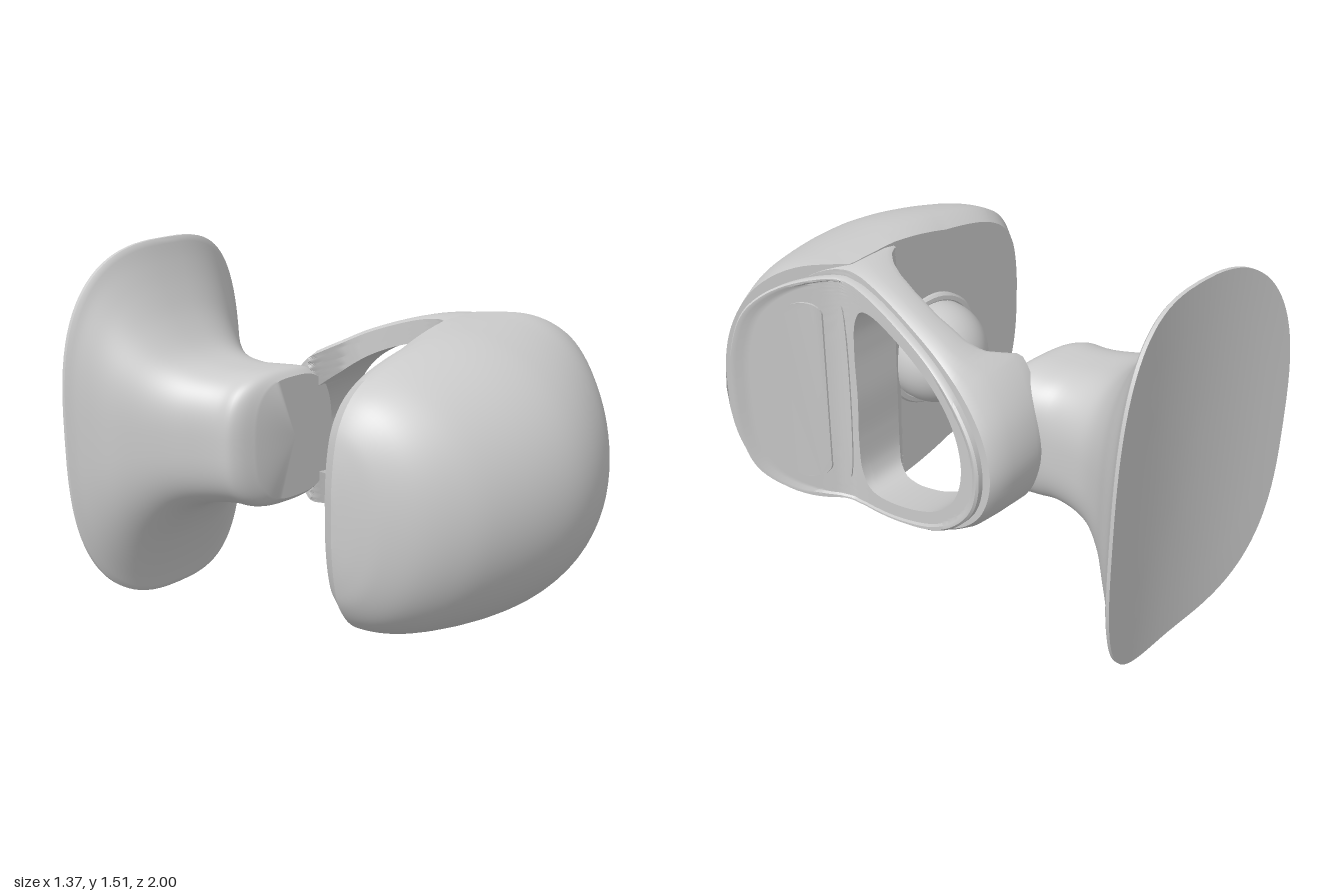
import * as THREE from 'three';
import { toCreasedNormals, mergeVertices } from 'three/addons/utils/BufferGeometryUtils.js';

const MID = 0.76; // height of the symmetry plane
const V3 = (x, y, z) => new THREE.Vector3(x, y, z);
const clamp = THREE.MathUtils.clamp;
const lerp = THREE.MathUtils.lerp;

// piecewise linear table lookup
const table = (pts) => (v) => {
  if (v <= pts[0][0]) return pts[0][1];
  for (let i = 1; i < pts.length; i++) {
    const [a, p] = pts[i - 1], [b, q] = pts[i];
    if (v <= b) return lerp(p, q, (v - a) / (b - a));
  }
  return pts[pts.length - 1][1];
};

// skin closed rings of equal length; wrap joins last ring to first
function loft(rings, wrap, crease = 0.6) {
  const n = rings[0].length, m = rings.length, index = [];
  const pts = rings.flat();
  let volume = 0;
  for (let i = 0; i < (wrap ? m : m - 1); i++) {
    for (let j = 0; j < n; j++) {
      const a = i * n + j, b = i * n + (j + 1) % n;
      const c = ((i + 1) % m) * n + j, d = ((i + 1) % m) * n + (j + 1) % n;
      for (const t of [[a, b, d], [a, d, c]]) {
        index.push(...t);
        volume += pts[t[0]].dot(V3().crossVectors(pts[t[1]], pts[t[2]]));
      }
    }
  }
  if (volume < 0) index.reverse(); // keep faces outward
  const g = new THREE.BufferGeometry().setFromPoints(pts);
  g.setIndex(index);
  return toCreasedNormals(g, crease);
}

// closed smooth outline in (z, y) from its upper half
const outline = (half) => {
  const low = half.slice(1, -1).reverse().map(([z, y]) => [z, -y]);
  const c = new THREE.CatmullRomCurve3([...half, ...low].map(([z, y]) => V3(z, y, 0)), true);
  return c.getSpacedPoints(160).slice(0, 160);
};

// side face in plan: x for a given z, and its offset along the normal
const outerX = table([[-0.5, 0.44], [0.15, 0.358], [0.25, 0.348], [0.32, 0.35], [0.37, 0.37], [0.42, 0.41], [0.68, 0.66]]);
const innerX = table([[-0.49, 0.17], [-0.35, 0.1], [-0.3, 0.09], [-0.268, 0.16], [-0.235, 0.22], [-0.18, 0.25], [-0.05, 0.257],
  [0.08, 0.243], [0.18, 0.22], [0.25, 0.19], [0.3, 0.15], [0.335, 0.095], [0.37, 0.12], [0.65, 0.3]]);
const sideX = (z, d) => outerX(z) + d * Math.hypot(1, (outerX(z + 0.03) - outerX(z - 0.03)) / 0.06);

const armOutline = outline([[0.6, 0], [0.58, 0.25], [0.53, 0.41], [0.45, 0.505], [0.35, 0.533], [0.2, 0.515], [0, 0.46],
  [-0.2, 0.382], [-0.35, 0.283], [-0.45, 0.157], [-0.49, 0]]);
const trimOutline = outline([[0.655, 0], [0.642, 0.22], [0.596, 0.37], [0.5, 0.462], [0.35, 0.502], [0.2, 0.49], [0, 0.437],
  [-0.2, 0.353], [-0.34, 0.242], [-0.42, 0.127], [-0.446, 0]]);
const holeOutline = outline([[0.27, 0], [0.275, 0.2], [0.265, 0.33], [0.235, 0.388], [0.18, 0.405], [0, 0.362],
  [-0.2, 0.262], [-0.31, 0.143], [-0.348, 0]]);

// ring between an outline and the hole; each profile entry is [inset, share of the rest, x rule]
const frame = (edge, profile) => loft(profile.map(([inset, share, xOf]) => edge.map((e, i) => {
  const h = holeOutline[i], len = e.distanceTo(h);
  const p = e.clone().lerp(h, (inset + share * (len - inset)) / len);
  return V3(xOf(p.x), MID + p.y, p.x);
})), true, 0.75);

function armGeometry() {
  const profile = [], steps = 20;
  const across = (t) => (z) => lerp(innerX(z), outerX(z), t);
  for (let i = 0; i <= steps; i++) profile.push([0.02, i / steps, across(1)]);
  for (let i = steps; i >= 0; i--) profile.push([0.012, i / steps, across(0)]);
  profile.push([0, 0, across(0.15)], [0, 0, across(0.6)], [0.004, 0, across(0.88)]);
  return frame(armOutline, profile);
}

function trimGeometry() {
  const at = (d) => (z) => sideX(z, d);
  const profile = [[0.025, 0, at(-0.01)], [0.025, 0, at(0.014)], [0, 0, at(0.014)], [0, 0, at(0.034)],
    [0.008, 0, at(0.043)], [0.022, 0, at(0.043)], [0.032, 0, at(0.034)]];
  for (let i = 1; i <= 16; i++) profile.push([0.032, i / 16, at(0.034)]);
  profile.push([0, 1, at(-0.01)]);
  return frame(trimOutline, profile);
}

// bulging front body: D-shaped sections across x, cut by the slanted side
function bodyGeometry() {
  const spine = new THREE.CatmullRomCurve3([[-0.68, 0, 0.44], [-0.678, 0.11, 0.46], [-0.664, 0.23, 0.54], [-0.64, 0.315, 0.62],
    [-0.58, 0.4, 0.73], [-0.5, 0.452, 0.815], [-0.4, 0.487, 0.885], [-0.2, 0.525, 0.967], [-0.03, 0.54, 1], [0.12, 0.54, 0.99],
    [0.3, 0.535, 0.935], [0.45, 0.526, 0.86], [0.57, 0.495, 0.78], [0.64, 0.47, 0.727], [0.68, 0.47, 0.695]].map((p) => V3(...p)));
  const back = (x) => Math.max(0.345 - 0.04 * x, 0.39 + (x - 0.38) * 1.04);
  const zc = 0.43, rings = [];
  for (let i = 0; i <= 84; i++) {
    const { x, y: h, z: front } = spine.getPoint(i / 84);
    const cut = Math.acos(clamp((back(x) - zc) / (front - zc), 0, 1));
    const k = clamp((0.1 - x) / 0.3, 0, 1), ring = [];
    for (let j = 0; j <= 40; j++) {
      const a = cut * (j / 20 - 1);
      ring.push(V3(x, MID + h * Math.sin(a), zc + (front - zc) * Math.cos(a)));
    }
    // chamfer to the flat back
    const bx = x * (1 - 0.06 * k), by = h * Math.sin(cut) * (1 - 0.07 * k);
    const bz = Math.min(back(bx), ring[40].z);
    ring.push(V3(bx, MID + by, bz), V3(bx, MID - by, bz));
    rings.push(ring);
  }
  return loft(rings, false);
}

// neck flaring into the concave rear pad: [z, left x, right x, half height]
function neckGeometry() {
  const key = [[-0.31, -0.22, 0.2, 0.25], [-0.335, -0.28, 0.22, 0.272], [-0.37, -0.315, 0.22, 0.28], [-0.43, -0.325, 0.2, 0.278],
    [-0.5, -0.35, 0.172, 0.28], [-0.6, -0.4, 0.17, 0.3], [-0.68, -0.448, 0.185, 0.35], [-0.76, -0.5, 0.235, 0.45],
    [-0.82, -0.535, 0.3, 0.56], [-0.865, -0.568, 0.355, 0.665], [-0.892, -0.592, 0.408, 0.745]];
  const curves = [1, 2, 3].map((c) => new THREE.SplineCurve(key.map((s) => new THREE.Vector2(s[0], s[c]))));
  const sections = [[-0.31, -0.01, -0.01, 0]];
  for (let i = 0; i <= 40; i++) {
    const p = curves.map((c) => c.getPoint(i / 40));
    sections.push([p[0].x, p[0].y, p[1].y, p[2].y]);
  }
  sections.push([-0.9, -0.6, 0.42, 0.755], [-0.914, -0.6, 0.42, 0.755]);
  for (const s of [0.8, 0.6, 0.4, 0.2, 0]) sections.push([-0.914, -0.09 - 0.51 * s, -0.09 + 0.51 * s, 0.755 * s]);
  return loft(sections.map(([z, l, r, h]) => {
    const bend = clamp((-0.55 - z) / 0.33, 0, 1), shear = clamp((z + 0.45) / 0.1, 0, 1);
    return Array.from({ length: 96 }, (_, j) => {
      const a = (j / 96) * Math.PI * 2, c = Math.cos(a), s = Math.sin(a), e = 2 / 2.85;
      const x = (l + r) / 2 + Math.sign(c) * Math.abs(c) ** e * (r - l) / 2;
      const y = MID - 0.005 * bend + Math.sign(s) * Math.abs(s) ** e * h;
      return V3(x, y, z - 0.085 * bend * ((x + 0.09) / 0.51) ** 2 + 0.08 * shear * (x + 0.2));
    });
  }), false);
}

// thin inlay laid on the side trim, drawn in (z, y)
function inlayGeometry(shape) {
  const g = mergeVertices(new THREE.ExtrudeGeometry(shape, { depth: 0.008, bevelEnabled: false, curveSegments: 24 }));
  const p = g.attributes.position;
  for (let i = 0; i < p.count; i++) {
    const z = p.getX(i), y = p.getY(i), d = p.getZ(i);
    p.setXYZ(i, sideX(z, 0.032 + d), MID + y, z);
  }
  // swapping x and z mirrors the solid, so turn the faces back
  g.index.array.reverse();
  return toCreasedNormals(g, 0.5);
}

export function createModel() {
  const group = new THREE.Group();
  const material = new THREE.MeshStandardMaterial({ color: 0xcccccc });
  const add = (name, geometry) => {
    const mesh = new THREE.Mesh(geometry, material);
    mesh.name = name;
    group.add(mesh);
    return mesh;
  };
  add('frontBody', bodyGeometry());
  add('sideArm', armGeometry());
  add('sideTrim', trimGeometry());
  add('neckAndRearPad', neckGeometry());

  // pill and lens inlays
  const pill = new THREE.Shape();
  pill.absarc(0.445, 0.338, 0.056, 0, Math.PI);
  pill.absarc(0.445, -0.338, 0.056, Math.PI, Math.PI * 2);
  add('pillInlay', inlayGeometry(pill));
  const lens = new THREE.Shape();
  lens.absellipse(0.328, 0, 0.022, 0.39, 0, Math.PI * 2);
  add('lensInlay', inlayGeometry(lens));

  // rounded knob with a flat tip and a base flange
  const profile = [[0, -0.05], [0.235, -0.05], [0.24, -0.006], [0.232, 0.004], [0.215, 0.006], [0.21, 0.002]];
  for (let i = 0; i <= 16; i++) {
    const a = (i / 16) * 1.25;
    profile.push([0.21 * Math.cos(a), 0.02 + 0.21 * Math.sin(a)]);
  }
  profile.push([0, 0.02 + 0.21 * Math.sin(1.25)]);
  const lathe = new THREE.LatheGeometry(profile.map((p) => new THREE.Vector2(...p)), 48);
  const knob = add('knob', toCreasedNormals(lathe, 0.4));
  knob.rotation.set(-Math.PI / 2, 0, -0.05);
  knob.position.set(-0.085, MID, 0.328);
  return group;
}
